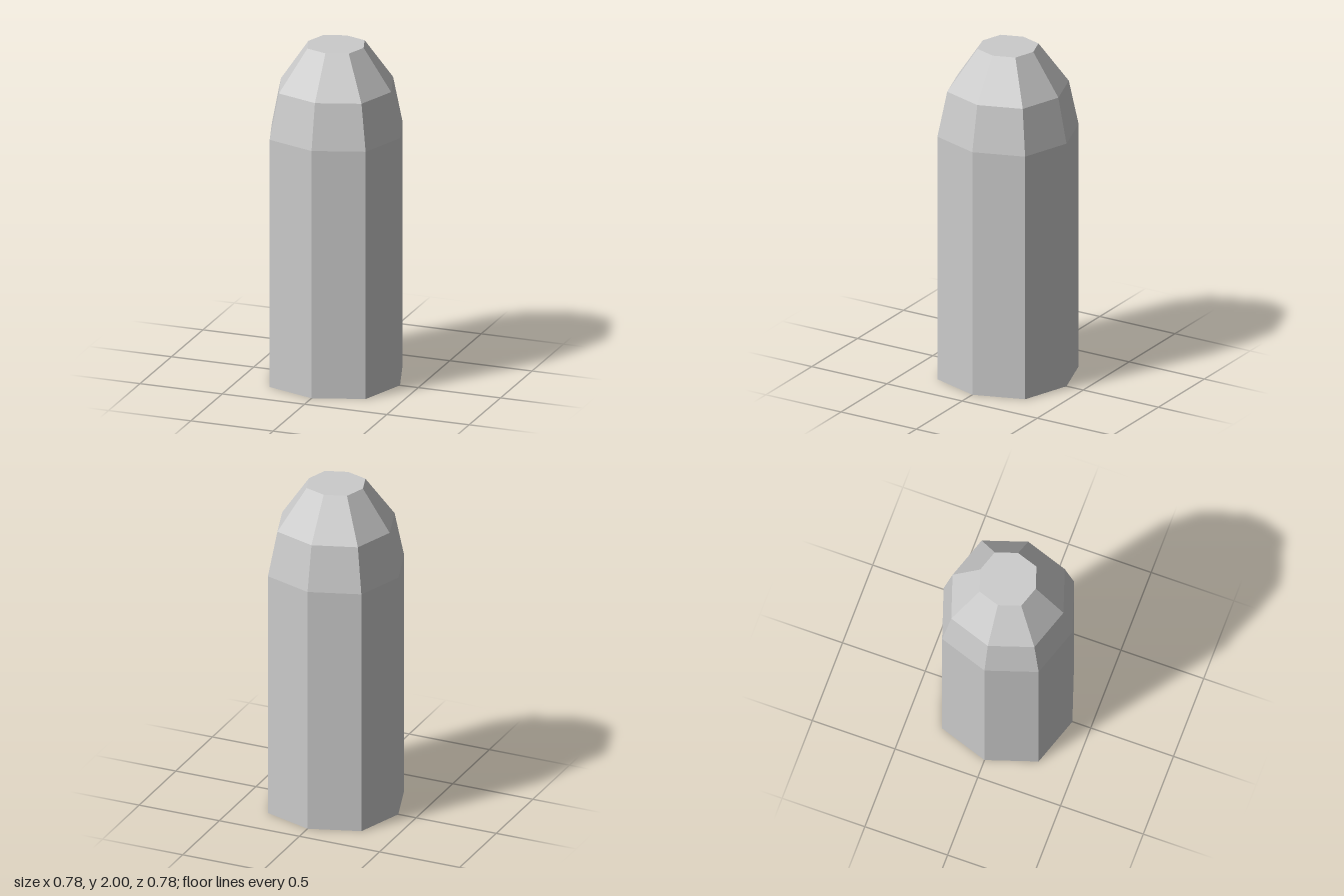
import * as THREE from 'three';

export function createModel() {
  const group = new THREE.Group();

  // Profile from base centre to tip centre: straight wall, then two tapers
  const profile = [[0, 0], [0.389, 0], [0.389, 1.485], [0.335, 1.755], [0.168, 2], [0, 2]]
    .map(([r, y]) => new THREE.Vector2(r, y));
  const geometry = new THREE.LatheGeometry(profile, 8);

  // Push the four diagonal corners slightly outwards
  const pos = geometry.attributes.position;
  for (let i = 0; i < pos.count; i++) {
    const x = pos.getX(i), z = pos.getZ(i);
    if (Math.abs(x) > 0.01 && Math.abs(z) > 0.01) {
      pos.setX(i, x * 1.06);
      pos.setZ(i, z * 1.06);
    }
  }
  geometry.computeVertexNormals();

  const material = new THREE.MeshStandardMaterial({ color: 0xcccccc, flatShading: true });
  const body = new THREE.Mesh(geometry, material);
  body.name = 'taperedBody';
  group.add(body);
  return group;
}
